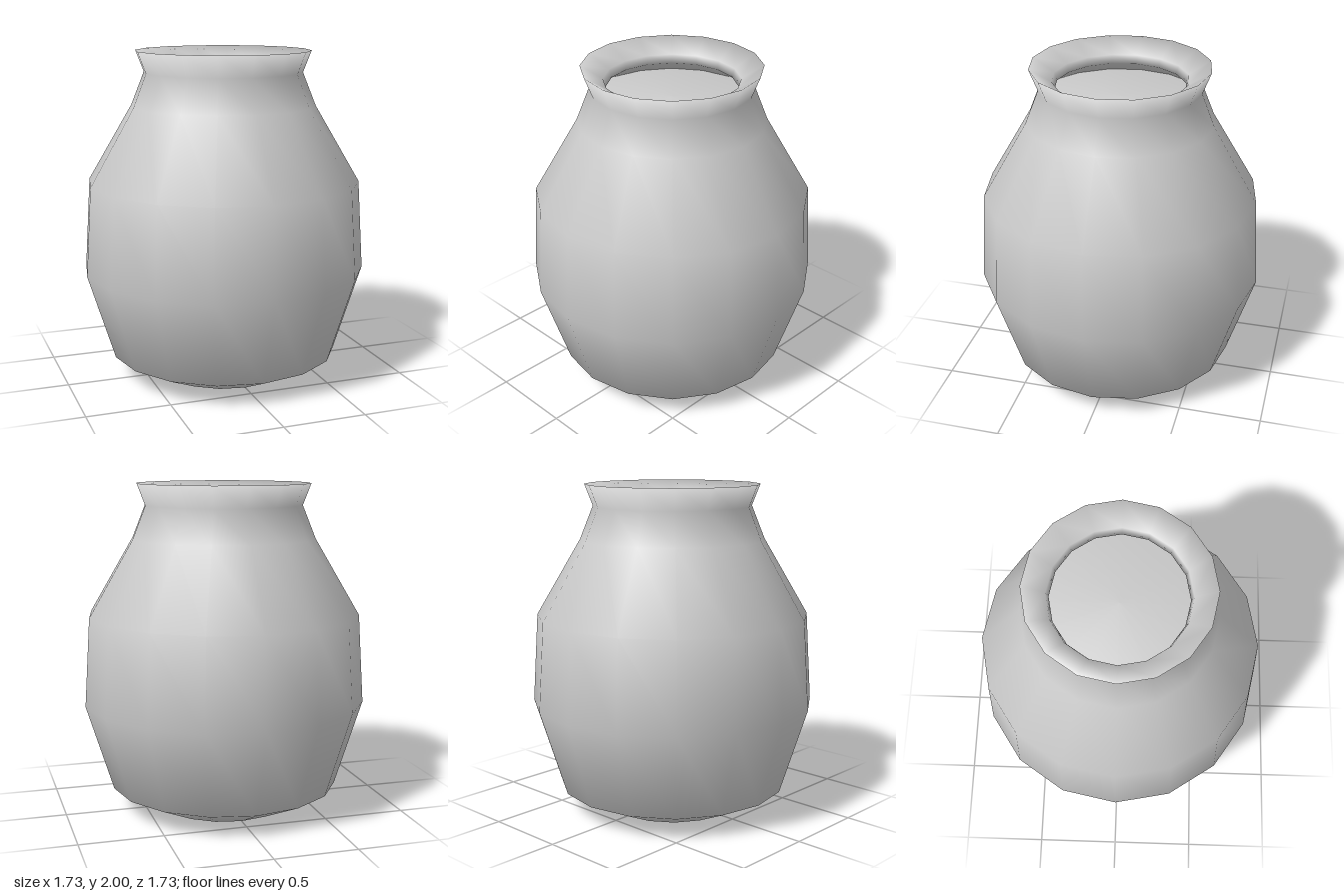
import * as THREE from 'three';

const SIDES = 16;

// Smooth turned part from [radius, height] pairs, listed so the faces point outward
function turned(name, profile) {
  const points = profile.map(([r, y]) => new THREE.Vector2(r, y));
  const material = new THREE.MeshStandardMaterial({ color: 0xcccccc, side: THREE.DoubleSide });
  const mesh = new THREE.Mesh(new THREE.LatheGeometry(points, SIDES), material);
  mesh.name = name;
  return mesh;
}

export function createModel() {
  const group = new THREE.Group();
  group.name = 'jar';

  // Base, belly, shoulder, flared rim, then the lip turning down into the neck
  group.add(turned('jarBody', [
    [0, 0], [0.40, 0], [0.70, 0.14], [0.865, 0.67], [0.83, 1.21],
    [0.56, 1.67], [0.48, 1.87], [0.53, 2.0],
    [0.40, 1.92], [0.385, 1.87], [0.505, 1.79],
  ]));

  // Slightly domed surface of the contents, just below the neck
  group.add(turned('contents', [
    [0.5, 1.7], [0.505, 1.79], [0, 1.81],
  ]));

  return group;
}
